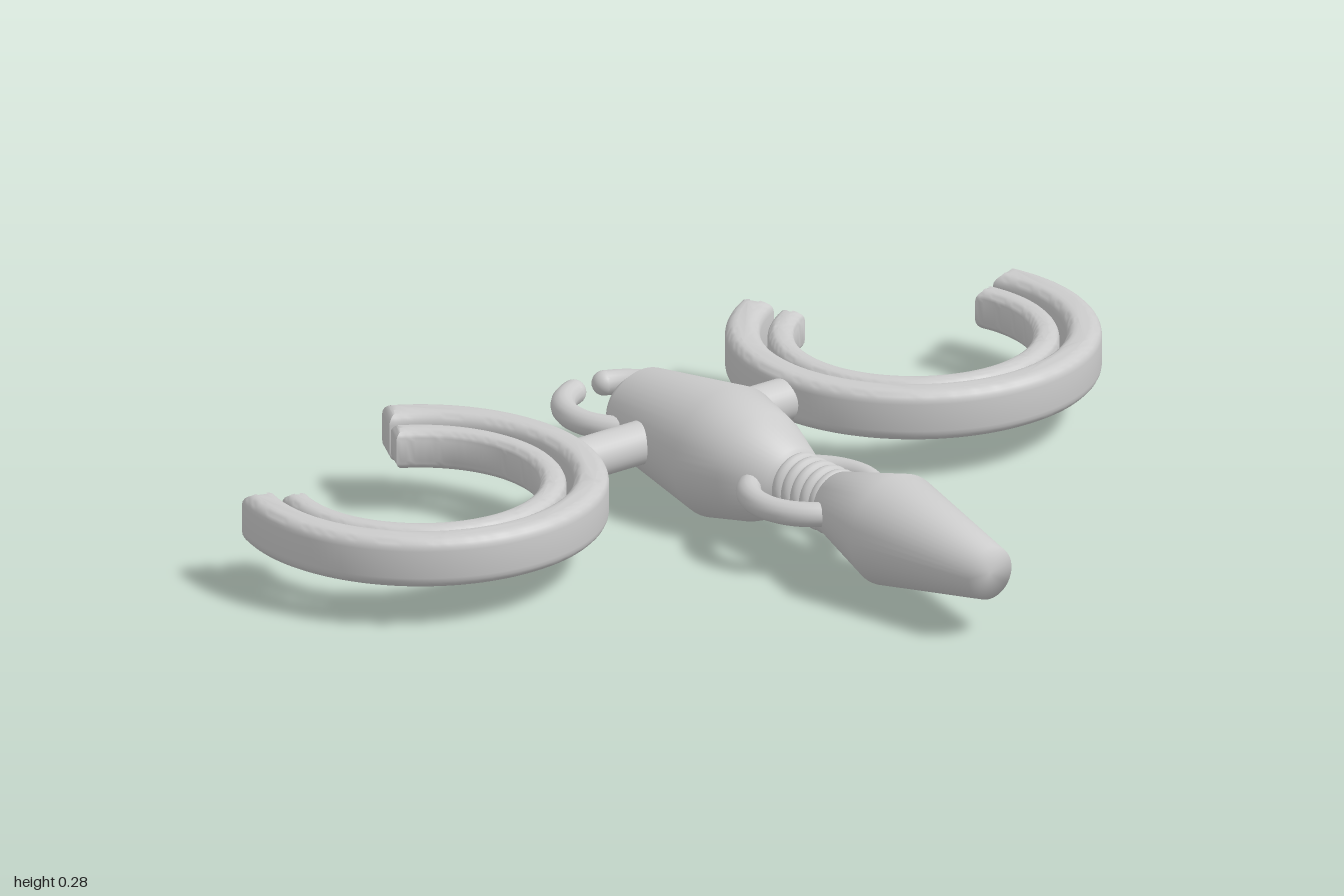
import * as THREE from 'three';
import { toCreasedNormals } from 'three/addons/utils/BufferGeometryUtils.js';

const AXIS_Y = 0.143;
const rad = THREE.MathUtils.degToRad;

export function createModel() {
  const model = new THREE.Group();
  const material = new THREE.MeshStandardMaterial({ color: 0xcccccc });

  const add = (name, geometry, x, y, z) => {
    const mesh = new THREE.Mesh(geometry, material);
    mesh.name = name;
    mesh.position.set(x, y, z);
    model.add(mesh);
    return mesh;
  };

  // Turned body along z; profile is [radius, z] from back to front
  const turned = (name, profile) => {
    const points = profile.map(([r, z]) => new THREE.Vector2(r, z));
    add(name, new THREE.LatheGeometry(points, 48).rotateX(Math.PI / 2), 0, AXIS_Y, 0);
  };

  // Flat curved band with rounded edges, open on one side
  const band = (inner, outer, height, mid, sweep, bevel) => {
    const a0 = rad(mid - sweep / 2), a1 = rad(mid + sweep / 2);
    const shape = new THREE.Shape();
    shape.absarc(0, 0, outer, a0, a1, false);
    shape.absarc(0, 0, inner, a1, a0, true);
    shape.closePath();
    const geometry = new THREE.ExtrudeGeometry(shape, {
      depth: height - 2 * bevel, curveSegments: 56,
      bevelSize: bevel, bevelThickness: bevel, bevelOffset: -bevel, bevelSegments: 5,
    });
    geometry.translate(0, 0, bevel - height / 2).rotateX(-Math.PI / 2);
    return toCreasedNormals(geometry, 0.7);
  };

  // Main body and nose
  turned('mainBody', [[0, -0.465], [0.07, -0.465], [0.097, -0.43], [0.14, -0.16],
    [0.115, -0.05], [0.073, 0.055], [0, 0.055]]);
  turned('nose', [[0, 0.2], [0.067, 0.2], [0.118, 0.385], [0.056, 0.69], [0, 0.69]]);

  // Coils joining nose to body
  for (let i = 0; i < 5; i++) {
    add('coil', new THREE.TorusGeometry(0.056, 0.0135, 12, 40), 0, AXIS_Y, 0.075 + i * 0.029);
  }

  // Horizontal link ring around the coils
  add('linkRing', new THREE.TorusGeometry(0.129, 0.026, 14, 64).rotateX(-Math.PI / 2), 0, AXIS_Y, 0.115);

  for (const side of [1, -1]) {
    // Rod out to the side bands
    add('sideRod', new THREE.CylinderGeometry(0.045, 0.045, 0.28, 32).rotateZ(Math.PI / 2),
      side * 0.145, AXIS_Y, -0.31);

    // Pair of nested open bands
    const mid = side > 0 ? 248.5 : 291.5;
    add('outerBand', band(0.31, 0.382, 0.108, mid, 263, 0.025), side * 0.64, 0.147, -0.355);
    add('innerBand', band(0.241, 0.296, 0.086, mid, 263, 0.022), side * 0.64, 0.147, -0.355);

    // Rear claw with a rounded tip
    const tip = rad(72), arc = rad(150);
    const claw = new THREE.TorusGeometry(0.129, 0.026, 14, 40, arc);
    claw.rotateZ(side > 0 ? tip - arc : Math.PI - tip).rotateX(-Math.PI / 2);
    add('rearClaw', claw, 0, AXIS_Y, -0.485);
    add('rearClawTip', new THREE.SphereGeometry(0.026, 20, 14),
      side * 0.129 * Math.cos(tip), AXIS_Y, -0.485 - 0.129 * Math.sin(tip));
  }

  return model;
}
